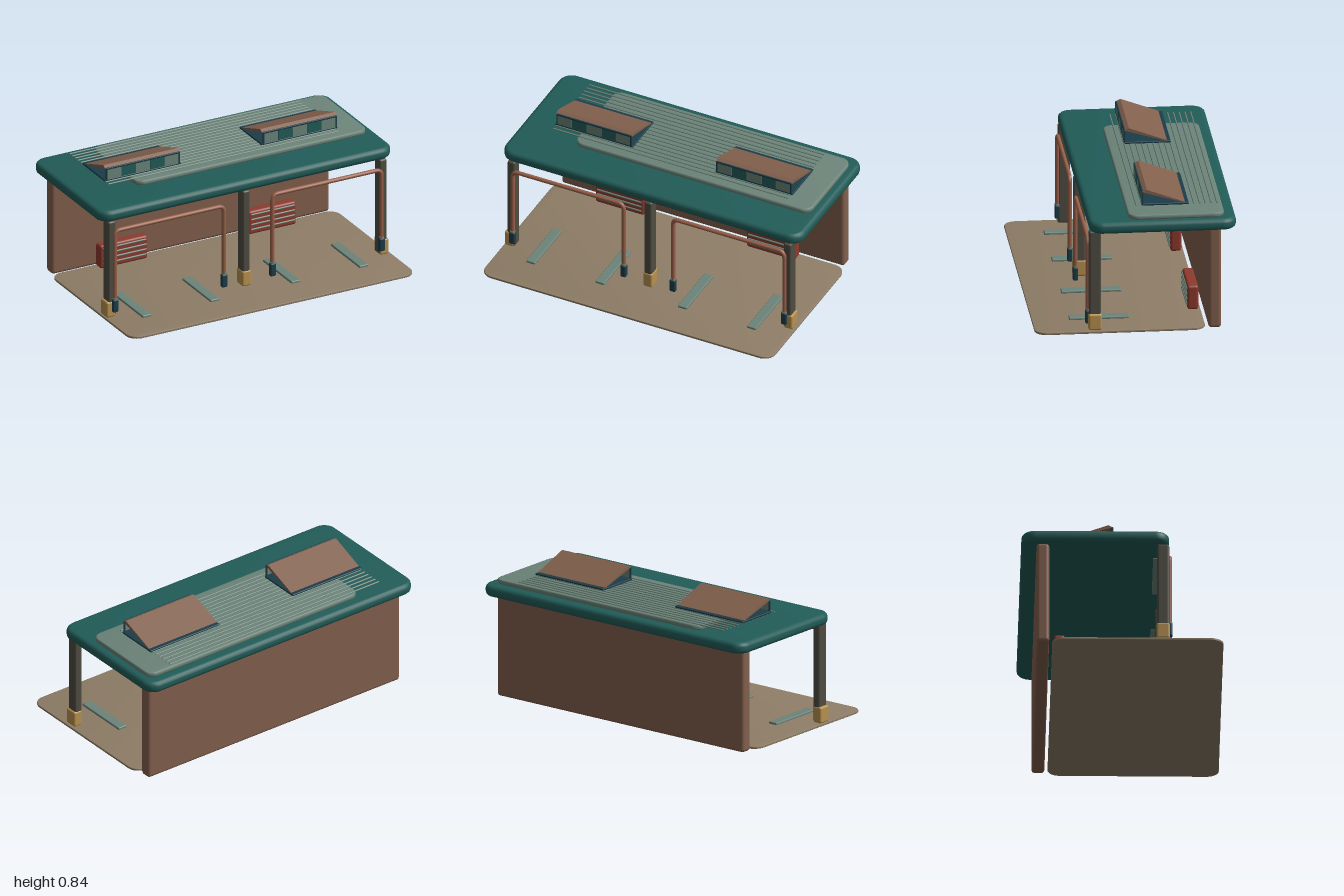
import * as THREE from 'three';
import { toCreasedNormals } from 'three/addons/utils/BufferGeometryUtils.js';
import { RoundedBoxGeometry } from 'three/addons/geometries/RoundedBoxGeometry.js';

const mat = (name, color, side = THREE.FrontSide) => {
  const m = new THREE.MeshStandardMaterial({ color, side });
  m.name = name;
  return m;
};

export function createModel() {
  const teal = mat('teal', 0x215c58);
  const sage = mat('sage', 0x6c8479);
  const brown = mat('brown', 0x82604d);
  const sand = mat('sand', 0x8e7d67);
  const olive = mat('olive', 0x4f4c41);
  const ochre = mat('ochre', 0xb8924f);
  const copper = mat('copper', 0x9a6049);
  const red = mat('red', 0x8e3a2d);
  const navy = mat('navy', 0x1c3d48);

  const model = new THREE.Group();
  model.name = 'shelter';

  const add = (parent, name, geo, material, x = 0, y = 0, z = 0) => {
    const mesh = new THREE.Mesh(geo, material);
    mesh.name = name;
    mesh.position.set(x, y, z);
    parent.add(mesh);
    return mesh;
  };

  // Horizontal slab with rounded corners in plan and a softened rim, given by its bounds
  const slab = (name, material, [x0, x1], [y0, y1], [z0, z1], r, bevel, steps = 3) => {
    const a = (x1 - x0) / 2 - bevel, b = (z1 - z0) / 2 - bevel, q = r - bevel;
    const s = new THREE.Shape();
    s.moveTo(-a + q, -b);
    s.lineTo(a - q, -b).absarc(a - q, -b + q, q, -Math.PI / 2, 0);
    s.lineTo(a, b - q).absarc(a - q, b - q, q, 0, Math.PI / 2);
    s.lineTo(-a + q, b).absarc(-a + q, b - q, q, Math.PI / 2, Math.PI);
    s.lineTo(-a, -b + q).absarc(-a + q, -b + q, q, Math.PI, Math.PI * 1.5);
    const geo = new THREE.ExtrudeGeometry(s, {
      depth: y1 - y0 - 2 * bevel, bevelThickness: bevel, bevelSize: bevel,
      bevelSegments: steps, curveSegments: 8,
    });
    geo.rotateX(-Math.PI / 2);
    add(model, name, toCreasedNormals(geo, 0.6), material, (x0 + x1) / 2, y0 + bevel, (z0 + z1) / 2);
  };

  // Rounded box given by its bounds
  const block = (parent, name, material, [x0, x1], [y0, y1], [z0, z1], r) =>
    add(parent, name, new RoundedBoxGeometry(x1 - x0, y1 - y0, z1 - z0, 3, r), material,
      (x0 + x1) / 2, (y0 + y1) / 2, (z0 + z1) / 2);

  // Thin bar running along x
  const bar = (parent, name, material, x, y, z, length, r) => {
    const geo = new THREE.CylinderGeometry(r, r, length, 8).rotateZ(Math.PI / 2);
    return add(parent, name, geo, material, x, y, z);
  };

  // Floor, wall and roof
  slab('floor', sand, [-0.97, 0.97], [0.003, 0.018], [-0.42, 0.605], 0.075, 0.004);
  block(model, 'backWall', brown, [-0.945, 0.945], [0.003, 0.65], [-0.515, -0.438], 0.02);
  slab('roof', teal, [-1, 1], [0.642, 0.712], [-0.605, 0.28], 0.085, 0.025);
  slab('roofDeck', sage, [-0.625, 0.95], [0.708, 0.74], [-0.535, 0.042], 0.06, 0.01);

  // Ribs across the roof deck
  for (let i = 0; i < 15; i++) {
    bar(model, 'roofRib', sage, -0.005, 0.741, -0.02 - i * 0.0347, 1.57, 0.005);
  }

  // Roof lights: tray, panelled front and sloping cover, open at the sides
  for (const x of [-0.535, 0.533]) {
    const light = new THREE.Group();
    light.name = 'roofLight';
    light.position.x = x;
    model.add(light);
    block(light, 'tray', navy, [-0.26, 0.26], [0.742, 0.755], [-0.335, -0.055], 0.005);
    block(light, 'lintel', navy, [-0.25, 0.25], [0.818, 0.83], [-0.062, -0.052], 0.003);
    for (const s of [-1, 1]) {
      block(light, 'post', navy, [s * 0.247 - 0.005, s * 0.247 + 0.005], [0.75, 0.83], [-0.062, -0.052], 0.003);
    }
    for (let i = 0; i < 5; i++) {
      const c = (i - 2) * 0.098;
      block(light, 'frontPanel', i % 2 ? teal : sage, [c - 0.049, c + 0.049], [0.755, 0.82], [-0.061, -0.054], 0.003);
    }
    const profile = new THREE.Shape([
      new THREE.Vector2(0.055, 0.826), new THREE.Vector2(0.083, 0.841),
      new THREE.Vector2(0.312, 0.757), new THREE.Vector2(0.308, 0.753),
    ]);
    const cover = new THREE.ExtrudeGeometry(profile, { depth: 0.51, bevelEnabled: false });
    cover.translate(0, 0, -0.255).rotateY(Math.PI / 2);
    add(light, 'slopingCover', cover, brown);
  }

  // Posts with sleeves at the foot
  for (const x of [-0.925, -0.01, 0.921]) {
    block(model, 'post', olive, [x - 0.025, x + 0.025], [0.02, 0.645], [0.208, 0.28], 0.012);
    const foot = x < -0.5 ? x - 0.01 : x > 0.5 ? x + 0.006 : x;
    block(model, 'postSleeve', ochre, [foot - 0.03, foot + 0.03], [0.018, 0.12], [0.204, 0.284], 0.012);
  }

  // Pipe arches between the posts, with boots
  for (const [x0, x1] of [[-0.91, -0.168], [0.162, 0.905]]) {
    const top = 0.585, low = 0.07, r = 0.04, z = 0.284;
    const v = (x, y) => new THREE.Vector3(x, y, z);
    const path = new THREE.CurvePath();
    path.add(new THREE.LineCurve3(v(x0, low), v(x0, top - r)));
    path.add(new THREE.QuadraticBezierCurve3(v(x0, top - r), v(x0, top), v(x0 + r, top)));
    path.add(new THREE.LineCurve3(v(x0 + r, top), v(x1 - r, top)));
    path.add(new THREE.QuadraticBezierCurve3(v(x1 - r, top), v(x1, top), v(x1, top - r)));
    path.add(new THREE.LineCurve3(v(x1, top - r), v(x1, low)));
    add(model, 'pipeArch', new THREE.TubeGeometry(path, 160, 0.013, 10), copper);
    for (const x of [x0, x1]) {
      block(model, 'pipeBoot', navy, [x - 0.019, x + 0.019], [0.05, 0.135], [0.268, 0.3], 0.009);
      add(model, 'bootCollar', new THREE.CylinderGeometry(0.016, 0.016, 0.01, 16), sage, x, 0.138, z);
    }
  }

  // Floor pads
  for (const x of [-0.743, -0.28, 0.27, 0.733]) {
    block(model, 'floorPad', sage, [x - 0.03, x + 0.03], [0.014, 0.032], [0.02, 0.382], 0.006);
  }

  // Slatted cabinets by the wall and light strips under the roof
  for (const x of [-0.507, 0.503]) {
    block(model, 'cabinet', red, [x - 0.162, x + 0.162], [0.02, 0.172], [-0.406, -0.34], 0.015);
    for (let i = 0; i < 4; i++) {
      bar(model, 'cabinetSlat', sage, x, 0.054 + i * 0.0325, -0.337, 0.295, 0.006);
    }
    block(model, 'lightStrip', sage, [x - 0.25, x + 0.25], [0.633, 0.646], [0.186, 0.23], 0.004);
  }

  return model;
}
